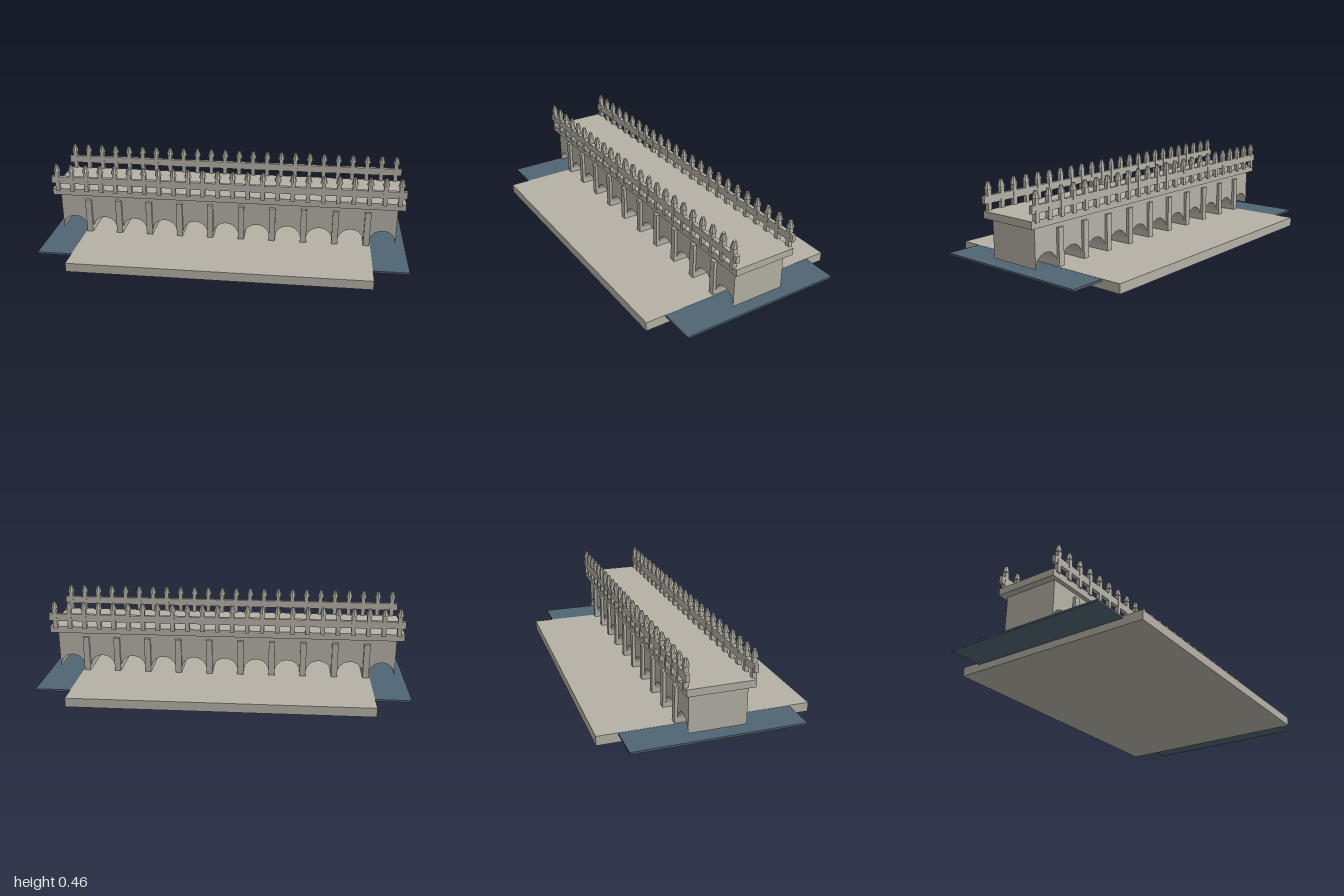
import * as THREE from 'three';

export function createModel() {
  const stone = new THREE.MeshStandardMaterial({ color: 0xb5b1a6 });
  stone.name = 'stone';
  stone.flatShading = true;
  const water = new THREE.MeshStandardMaterial({ color: 0x4f6473 });
  water.name = 'water';

  const model = new THREE.Group();
  model.name = 'archBridge';

  function add(name, geometry, material, x, y, z) {
    const mesh = new THREE.Mesh(geometry, material);
    mesh.name = name;
    mesh.position.set(x, y, z);
    model.add(mesh);
    return mesh;
  }
  // Box given by its full width, bottom, top and depth
  function box(name, material, width, y0, y1, depth, x = 0, z = 0) {
    return add(name, new THREE.BoxGeometry(width, y1 - y0, depth), material, x, (y0 + y1) / 2, z);
  }

  // Ground slab and river sheet
  box('groundSlab', stone, 1.62, 0, 0.05, 1.12);
  box('river', water, 2, 0.038, 0.049, 0.9);

  // Bridge wall: one outline with eleven arches cut from its lower edge
  const archCount = 11, pitch = 0.175, radius = 0.071;
  const half = 0.947, spring = 0.066;
  const wall = new THREE.Shape();
  wall.moveTo(-half, 0.275);
  wall.lineTo(-half, spring);
  for (let i = 0; i < archCount; i++) {
    const x = (i - (archCount - 1) / 2) * pitch;
    wall.lineTo(x - radius, spring);
    wall.absarc(x, spring, radius, Math.PI, 0, true);
  }
  wall.lineTo(half, spring);
  wall.lineTo(half, 0.275);
  wall.closePath();
  const wallGeometry = new THREE.ExtrudeGeometry(wall, { depth: 0.3, bevelEnabled: false, curveSegments: 12 });
  add('archWall', wallGeometry, stone, 0, 0, -0.15);

  // Piers between the arches, standing proud of the wall on both sides
  for (let i = 0; i < archCount - 1; i++) {
    box('pier', stone, 0.034, 0.05, 0.247, 0.332, (i - (archCount - 2) / 2) * pitch);
  }

  // Deck
  box('deck', stone, 1.97, 0.274, 0.312, 0.346);

  // Railings: rail, posts and tapered caps on each side
  const postCount = 24, postPitch = 0.0828;
  const capGeometry = new THREE.CylinderGeometry(0.009, 0.02, 0.037, 8);
  for (const side of [1, -1]) {
    const z = side * 0.17;
    box('rail', stone, 1.97, 0.347, 0.387, 0.02, 0, z);
    for (let i = 0; i < postCount; i++) {
      const x = (i - (postCount - 1) / 2) * postPitch;
      box('post', stone, 0.023, 0.302, 0.42, 0.023, x, z);
      add('postCap', capGeometry, stone, x, 0.4365, z);
    }
  }

  return model;
}
